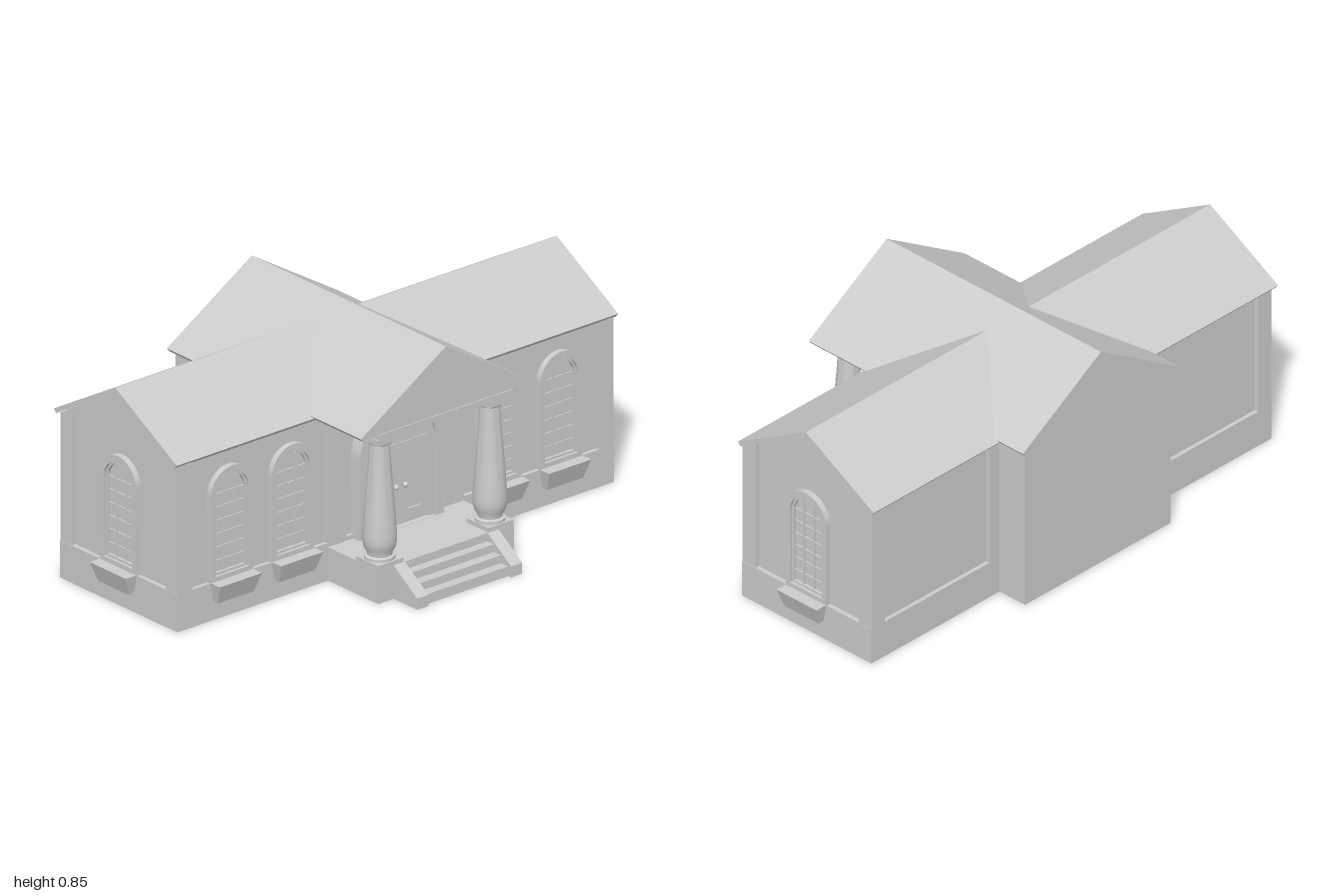
import * as THREE from 'three';
import { toCreasedNormals } from 'three/addons/utils/BufferGeometryUtils.js';

const material = new THREE.MeshStandardMaterial({ color: 0xcccccc, side: THREE.DoubleSide });
const CX = -0.122;          // centre line of the long hall
const FRONT = 0.175, BACK = -0.42, END = 0.948;
const RECESS = 0.015, PLINTH = 0.135;

function add(parent, name, geometry) {
  const mesh = new THREE.Mesh(geometry, material);
  mesh.name = name;
  parent.add(mesh);
  return mesh;
}

// Box given by its limits
function box(parent, name, x0, x1, y0, y1, z0, z1) {
  const g = new THREE.BoxGeometry(x1 - x0, y1 - y0, z1 - z0);
  g.translate((x0 + x1) / 2, (y0 + y1) / 2, (z0 + z1) / 2);
  return add(parent, name, g);
}

const polygon = (points) => new THREE.Shape(points.map(([x, y]) => new THREE.Vector2(x, y)));

// Prism running along z, or along x when alongX (profile is then [z, y])
function prism(parent, name, shape, from, to, alongX = false) {
  const g = new THREE.ExtrudeGeometry(shape, { depth: to - from, bevelEnabled: false, curveSegments: 20 });
  g.translate(0, 0, from);
  if (alongX) g.rotateY(Math.PI / 2);
  return add(parent, name, toCreasedNormals(g, 0.5));
}

// Round-headed outline, arch centre at height spring
function arch(half, bottom, spring) {
  const s = new THREE.Shape();
  s.moveTo(-half, bottom);
  s.lineTo(half, bottom);
  s.lineTo(half, spring);
  s.absarc(0, spring, half, 0, Math.PI, false);
  s.lineTo(-half, bottom);
  return s;
}

function chevron(c, half, eave, ridge, t) {
  return polygon([[c - half, eave], [c - half + 0.012, eave - 0.014], [c, ridge - t],
    [c + half - 0.012, eave - 0.014], [c + half, eave], [c, ridge]]);
}

// Arched window with glazing bars and a tapered planter, facing +z
function makeWindow() {
  const g = new THREE.Group();
  g.name = 'window';
  const outer = arch(0.092, PLINTH, 0.446);
  outer.holes.push(arch(0.072, 0.155, 0.441));
  prism(g, 'windowFrame', outer, -RECESS, 0.006);
  const inner = arch(0.074, 0.15, 0.441);
  inner.holes.push(arch(0.064, 0.163, 0.441));
  prism(g, 'windowSash', inner, -RECESS, -0.004);
  for (const x of [-0.024, 0.024]) box(g, 'glazingBar', x - 0.002, x + 0.002, 0.155, 0.497, -RECESS, -0.009);
  for (let i = 1; i < 7; i++) {
    const y = 0.155 + i * 0.048;
    box(g, 'glazingBar', -0.068, 0.068, y - 0.002, y + 0.002, -RECESS, -0.01);
  }
  const planter = new THREE.BoxGeometry(0.184, 0.07, 0.05);
  planter.translate(0, 0.103, 0.025);
  const p = planter.attributes.position;
  for (let i = 0; i < p.count; i++) {
    if (p.getY(i) < 0.1) {
      p.setX(i, p.getX(i) * 0.84);
      p.setZ(i, p.getZ(i) * 0.5);
    }
  }
  planter.computeVertexNormals();
  add(g, 'planter', planter);
  return g;
}

function makeHall() {
  const g = new THREE.Group();
  g.name = 'hall';
  box(g, 'plinth', BACK, FRONT, 0, PLINTH, -0.95, 0.95);
  const x0 = BACK + RECESS, x1 = FRONT - RECESS;
  prism(g, 'hallWalls', polygon([[x0, 0.1], [x1, 0.1], [x1, 0.605], [CX, 0.768], [x0, 0.605]]),
    -END + RECESS, END - RECESS);
  for (const s of [-1, 1]) {
    const span = (a, b) => (s > 0 ? [a, b] : [-b, -a]);
    // Corner piers with tops cut to the roof slope
    for (const [a, b, ya, yb] of [[BACK, -0.36, 0.595, 0.628], [0.113, FRONT, 0.63, 0.595]]) {
      prism(g, 'cornerPier', polygon([[a, 0.1], [b, 0.1], [b, yb], [a, ya]]), ...span(0.885, END));
    }
    box(g, 'portalPier', 0.1, FRONT, 0.1, 0.6, ...span(0.215, 0.297));
    box(g, 'rearPier', BACK, -0.35, 0.1, 0.595, ...span(0.33, 0.39));
    // Windows in the gable ends and along the front wall
    const w = makeWindow();
    w.position.set(CX, 0, s * END);
    if (s < 0) w.rotation.y = Math.PI;
    g.add(w);
    for (const z of [0.45, 0.716]) {
      const v = makeWindow();
      v.position.set(FRONT, 0, s * z);
      v.rotation.y = Math.PI / 2;
      g.add(v);
    }
  }
  prism(g, 'hallRoof', chevron(CX - 0.006, 0.312, 0.606, 0.784, 0.019), -0.96, 0.96);
  return g;
}

function makeCrossWing() {
  const g = new THREE.Group();
  g.name = 'crossWing';
  prism(g, 'rearBlock', polygon([[-0.345, 0.003], [0.345, 0.003], [0.345, 0.61], [0, 0.83], [-0.345, 0.61]]),
    -0.54, -0.1, true);
  prism(g, 'wingRoof', chevron(0, 0.37, 0.615, 0.845, 0.015), -0.555, 0.43, true);
  prism(g, 'pediment', polygon([[-0.35, 0.603], [0.35, 0.603], [0.35, 0.612], [0, 0.832], [-0.35, 0.612]]),
    0, 0.424, true);
  box(g, 'portalBeam', 0.1, 0.428, 0.585, 0.606, -0.29, 0.29);
  return g;
}

function makePortico() {
  const g = new THREE.Group();
  g.name = 'portico';
  box(g, 'platform', 0.1, 0.43, 0, 0.12, -0.295, 0.295);
  for (let i = 0; i < 3; i++) {
    box(g, 'step', 0.42, 0.535 - i * 0.036, 0, 0.035 + i * 0.028, -0.185, 0.185);
  }
  // Swelling columns
  const profile = [[0, 0.135], [0.052, 0.135], [0.052, 0.146], [0.042, 0.15], [0.042, 0.156], [0.053, 0.175],
    [0.058, 0.2], [0.058, 0.225], [0.054, 0.28], [0.047, 0.37], [0.039, 0.47], [0.034, 0.548],
    [0.042, 0.554], [0.046, 0.566], [0, 0.566]].map(([r, y]) => new THREE.Vector2(r, y));
  for (const s of [-1, 1]) {
    const z = s * 0.24;
    const column = add(g, 'column', toCreasedNormals(new THREE.LatheGeometry(profile, 32), 0.6));
    column.position.set(0.373, 0, z);
    box(g, 'columnBase', 0.317, 0.429, 0.118, 0.136, z - 0.055, z + 0.055);
    box(g, 'columnCapital', 0.319, 0.427, 0.565, 0.587, z - 0.054, z + 0.054);
    // Sloping cheek walls beside the steps
    const cheek = polygon([[0.42, 0], [0.55, 0], [0.55, 0.04], [0.432, 0.12], [0.42, 0.12]]);
    prism(g, 'stairCheek', cheek, s > 0 ? 0.18 : -0.228, s > 0 ? 0.228 : -0.18);
  }
  return g;
}

// Round-headed doorway, built facing +z
function makeDoorway() {
  const g = new THREE.Group();
  g.name = 'doorway';
  const surround = arch(0.183, 0.12, 0.4);
  surround.holes.push(arch(0.15, 0.121, 0.4));
  prism(g, 'doorSurround', surround, -0.02, 0.032);
  const a = Math.asin(0.05 / 0.145);
  const infill = arch(0.152, 0.12, 0.4);
  const light = new THREE.Path();
  light.absarc(0, 0.4, 0.145, a, Math.PI - a, false);
  light.closePath();
  infill.holes.push(light);
  prism(g, 'doorFrame', infill, -0.02, 0.012);
  box(g, 'fanlightPane', -0.15, 0.15, 0.44, 0.55, -0.02, -0.005);
  box(g, 'lintel', -0.15, 0.15, 0.42, 0.45, 0, 0.018);
  for (const s of [-1, 1]) {
    const span = (p, q) => (s > 0 ? [p, q] : [-q, -p]);
    box(g, 'doorJamb', ...span(0.125, 0.15), 0.12, 0.42, 0, 0.02);
    const leaf = polygon([[s * 0.004, 0.125], [s * 0.122, 0.125], [s * 0.122, 0.418], [s * 0.004, 0.418]]);
    leaf.holes.push(polygon([[s * 0.035, 0.17], [s * 0.1, 0.17], [s * 0.1, 0.4], [s * 0.035, 0.4]]));
    prism(g, 'doorLeaf', leaf, 0.01, 0.018);
    const knob = add(g, 'doorKnob', new THREE.SphereGeometry(0.01, 12, 8));
    knob.position.set(s * 0.02, 0.265, 0.026);
  }
  g.position.x = FRONT;
  g.rotation.y = Math.PI / 2;
  return g;
}

export function createModel() {
  const model = new THREE.Group();
  model.name = 'columnedHall';
  model.add(makeHall(), makeCrossWing(), makePortico(), makeDoorway());
  return model;
}
